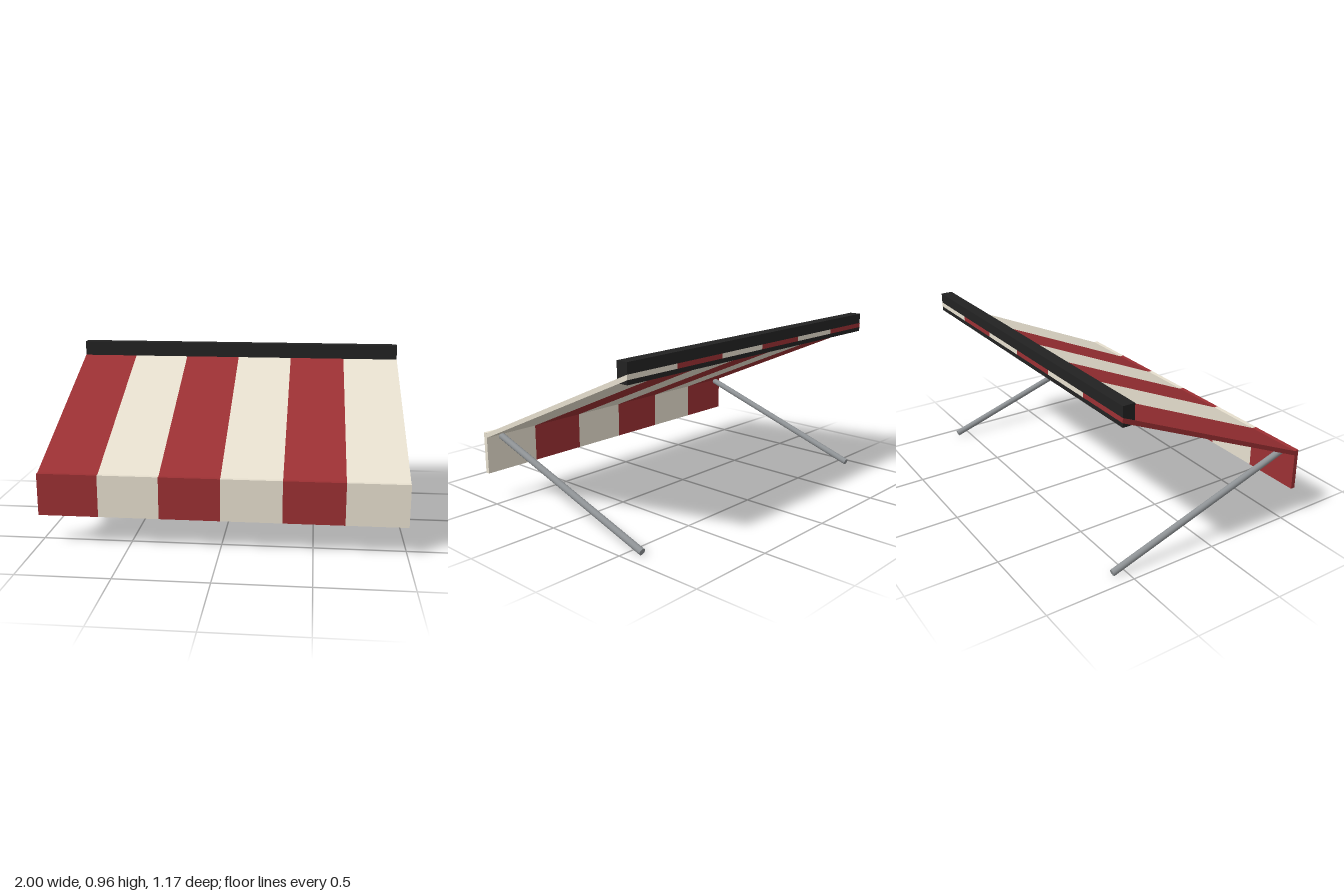
import * as THREE from 'three';

export function createModel() {
  const mat = (name, color) => {
    const m = new THREE.MeshStandardMaterial({ color });
    m.name = name;
    return m;
  };
  const red = mat('red canvas', 0x9b3033);
  const cream = mat('cream canvas', 0xe6dfce);
  const black = mat('black housing', 0x222222);
  const grey = mat('grey metal', 0x8f9396);

  const model = new THREE.Group();
  model.name = 'awning';
  const add = (parent, name, geometry, material, x = 0, y = 0, z = 0) => {
    const mesh = new THREE.Mesh(geometry, material);
    mesh.name = name;
    mesh.position.set(x, y, z);
    parent.add(mesh);
    return mesh;
  };

  // Side profile of the sloping canvas, as (z, y), extruded across one stripe
  const stripes = 6;
  const width = 2 / stripes;
  const profile = new THREE.Shape(
    [[-0.578, 0.885], [0.562, 0.378], [0.562, 0.404], [-0.578, 0.911]]
      .map(([z, y]) => new THREE.Vector2(-z, y))
  );
  const slope = new THREE.ExtrudeGeometry(profile, { depth: width, bevelEnabled: false });
  slope.rotateY(Math.PI / 2);
  const flap = new THREE.BoxGeometry(width, 0.236, 0.025);

  // Striped canopy and hanging valance
  const canopy = new THREE.Group();
  canopy.name = 'canopy';
  const valance = new THREE.Group();
  valance.name = 'valance';
  model.add(canopy, valance);
  for (let i = 0; i < stripes; i++) {
    const x = -1 + i * width;
    const material = i % 2 ? cream : red;
    add(canopy, 'canopyStripe', slope, material, x);
    add(valance, 'valanceStripe', flap, material, x + width / 2, 0.288, 0.5715);
  }

  // Wall housing along the top
  add(model, 'housing', new THREE.BoxGeometry(1.998, 0.107, 0.067), black, 0, 0.9145, -0.5435);

  // Support arms from the wall up to the front edge
  const foot = new THREE.Vector3(0, 0.021, -0.578);
  const reach = new THREE.Vector3(0, 0.381, 0.533).sub(foot);
  const rod = new THREE.CylinderGeometry(0.0185, 0.0185, reach.length(), 16);
  for (const side of [-1, 1]) {
    const centre = foot.clone().addScaledVector(reach, 0.5);
    const arm = add(model, side > 0 ? 'leftArm' : 'rightArm', rod, grey, side * 0.92, centre.y, centre.z);
    arm.quaternion.setFromUnitVectors(new THREE.Vector3(0, 1, 0), reach.clone().normalize());
  }

  return model;
}
